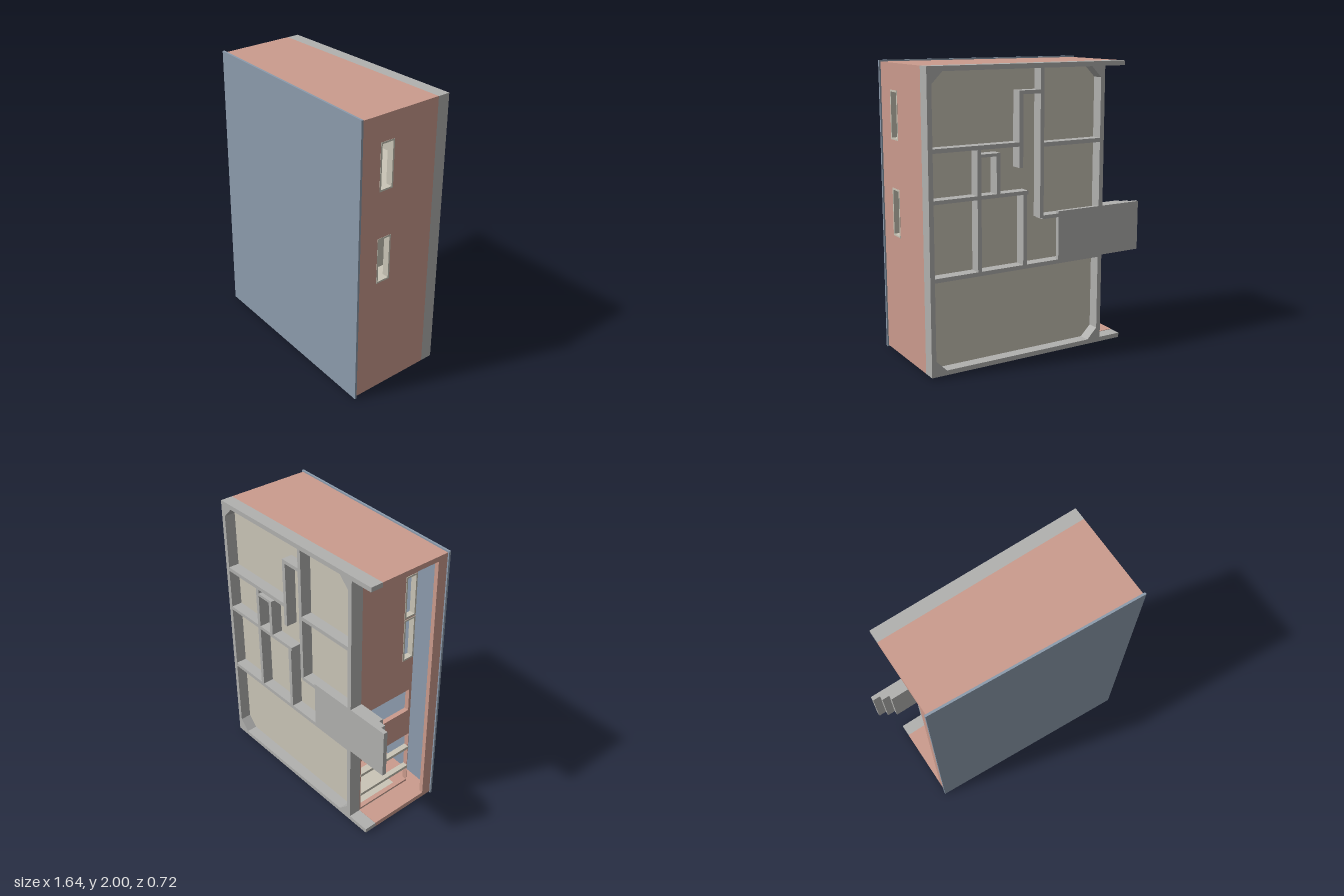
import * as THREE from 'three';

const mat = (name, color, side = THREE.FrontSide) => {
  const m = new THREE.MeshStandardMaterial({ color, side });
  m.name = name;
  return m;
};

export function createModel() {
  const root = new THREE.Group();
  root.name = 'house';
  const brick = mat('brick', 0xcb9b8d);
  const slate = mat('roof blue', 0x8c9bac);
  const concrete = mat('concrete', 0xb1b1af);
  const plaster = mat('plaster', 0xcac5b7);

  const add = (name, geo, m) => {
    const mesh = new THREE.Mesh(geo, m);
    mesh.name = name;
    root.add(mesh);
    return mesh;
  };
  // box given by its lower and upper corners
  const box = (name, m, x0, x1, y0, y1, z0, z1) => {
    const g = new THREE.BoxGeometry(x1 - x0, y1 - y0, z1 - z0);
    g.translate((x0 + x1) / 2, (y0 + y1) / 2, (z0 + z1) / 2);
    return add(name, g, m);
  };
  const X = new THREE.Vector3(1, 0, 0);
  const Y = new THREE.Vector3(0, 1, 0);
  const Z = new THREE.Vector3(0, 0, 1);
  const vecs = (pts) => pts.map(([a, b]) => new THREE.Vector2(a, b));
  const rect = (u0, u1, v0, v1) => [[u0, v0], [u1, v0], [u1, v1], [u0, v1]];
  // outline with holes, pushed from t0 to t1 along an axis
  // axis 'x': points are (y, z); axis 'y': points are (z, x); axis 'z': points are (x, y)
  const slab = (name, m, axis, pts, t0, t1, holes = []) => {
    const s = new THREE.Shape(vecs(pts));
    holes.forEach((h) => s.holes.push(new THREE.Path(vecs(h))));
    const g = new THREE.ExtrudeGeometry(s, { depth: t1 - t0, bevelEnabled: false });
    g.translate(0, 0, t0);
    const basis = { x: [Y, Z, X], y: [Z, X, Y], z: [X, Y, Z] }[axis];
    g.applyMatrix4(new THREE.Matrix4().makeBasis(...basis));
    return add(name, g, m);
  };
  // hollow rectangular window frame
  const frame = (axis, u0, u1, v0, v1, t0, t1, w = 0.012) =>
    slab('windowFrame', plaster, axis, rect(u0, u1, v0, v1), t0, t1,
      [rect(u0 + w, u1 - w, v0 + w, v1 - w)]);

  // underside of the sloping roof
  const under = (x) => 0.265 + 0.0517 * (x + 0.69);
  const xL = -0.68, xR = 0.81, xP = -0.513, base = -0.27, foot = -0.36, T = 0.035;

  // roof sheet
  slab('roof', slate, 'y', [
    [under(-0.69), -0.69], [under(-0.69) + 0.015, -0.69],
    [under(0.82) + 0.015, 0.82], [under(0.82), 0.82],
  ], 0, 2);

  // long side walls with sloping tops; the lower one has two windows
  const side = [[base, xL], [under(xL), xL], [under(xR), xR], [base, xR]];
  const lowWindows = [[-0.17, 0.11], [0.12, 0.27]];
  slab('upperSideWall', brick, 'y', side, 1.99 - T, 1.99);
  slab('lowerSideWall', brick, 'y', side, 0.01, 0.01 + T,
    lowWindows.map(([a, b]) => rect(0.09, 0.19, a, b)));
  lowWindows.forEach(([a, b]) => frame('y', 0.09, 0.19, a, b, 0.005, 0.05));
  box('wallLining', plaster, xP, -0.2, 0.01 + T, 0.05, base, 0.1);

  // tall end wall with two windows
  const endWindows = [[0.84, 1.165], [1.49, 1.815]];
  slab('endWall', brick, 'x', rect(0.01, 1.99, base, under(xR - T)), xR - T, xR,
    endWindows.map(([a, b]) => rect(a, b, 0.083, 0.193)));
  endWindows.forEach(([a, b]) => frame('x', a, b, 0.083, 0.193, xR - 0.045, xR + 0.002));

  // recessed porch wall with windows, door and wide glazed opening
  const openings = [
    [1.17, 1.49, 0.09, 0.186], [1.5, 1.81, 0.09, 0.186],
    [0.72, 0.9, -0.26, 0.17], [0.06, 0.5, -0.262, 0.186],
  ];
  slab('porchWall', brick, 'x', rect(0.045, 1.955, base, 0.19), xP, xP + T,
    openings.map((o) => rect(...o)));
  openings.slice(0, 2).forEach((o) => frame('x', ...o, xP - 0.004, xP + T + 0.004));
  [0.18, 0.36].forEach((y) =>
    box('glazingBar', plaster, xP - 0.005, xP + T, y, y + 0.022, -0.265, 0.188));

  // beam over the porch
  box('porchBeam', brick, xL, xL + 0.03, 0.012, 1.988, 0.19, under(xL) - 0.001);

  // floor plate
  box('floor', plaster, xP + 0.01, xR - 0.01, 0.02, 1.98, -0.28, -0.265);

  // foundation perimeter, its long sides run out past the porch
  const F = 0.032;
  box('foundationEdge', concrete, xL, xR, 0.01, 0.01 + F, foot, base);
  box('foundationEdge', concrete, xL, xR, 1.99 - F, 1.99, foot, base);
  box('foundationEdge', concrete, xR - F, xR, 0.01 + F, 1.99 - F, foot, base);
  box('foundationEdge', concrete, xP, xP + F, 0.01 + F, 1.99 - F, foot, base);

  // foundation ribs: x0, x1, y0, y1
  const R = 0.028;
  [
    [-0.03, -0.03 + R, 0.97, 1.96],
    [0.13, 0.13 + R, 1.32, 1.82],
    [-0.01, 0.13 + R, 1.795, 1.82],
    [0.13, 0.79, 1.46, 1.488],
    [0.09, 0.79, 1.14, 1.165],
    [xP, 0.79, 0.637, 0.665],
    [0.44, 0.44 + R, 0.65, 1.47],
    [0.3, 0.3 + R, 1.15, 1.43],
    [0.3, 0.46, 1.41, 1.43],
    [0.1, 0.1 + R, 0.65, 1.15],
    [xP, -0.02, 1.446, 1.474],
    [xP, -0.02, 0.96, 0.985],
  ].forEach(([x0, x1, y0, y1]) => box('foundationRib', concrete, x0, x1, y0, y1, foot + 0.0005, base));

  // diagonal fillets in the foundation corners
  [[xR - F, 1], [xP + F, -1]].forEach(([x, sx]) => {
    [[0.01 + F, -1], [1.99 - F, 1]].forEach(([y, sy]) => {
      const c = 0.075;
      slab('cornerFillet', concrete, 'z', [[x, y], [x - sx * c, y], [x, y - sy * c]], foot, base);
    });
  });

  // entrance platform and steps
  box('entranceSlab', concrete, -0.825, -0.15, 0.65, 1.0, foot - 0.0005, -0.33);
  box('middleStep', concrete, -0.77, xP, 0.65, 1.0, -0.33, -0.298);
  box('topStep', concrete, -0.715, xP, 0.65, 1.0, -0.298, -0.266);

  // room partitions
  [
    [-0.03, -0.005, 1.64, 1.955],
    [-0.03, -0.005, 0.65, 1.4],
    [0.1, 0.125, 0.65, 1.02],
    [0.13, 0.775, 1.46, 1.485],
    [0.1, 0.775, 1.14, 1.165],
    [-0.03, 0.775, 0.637, 0.662],
    [0.44, 0.465, 0.66, 1.46],
    [xP + T, -0.02, 1.446, 1.471],
  ].forEach(([x0, x1, y0, y1]) => box('partition', plaster, x0, x1, y0, y1, -0.266, 0.19));

  return root;
}
